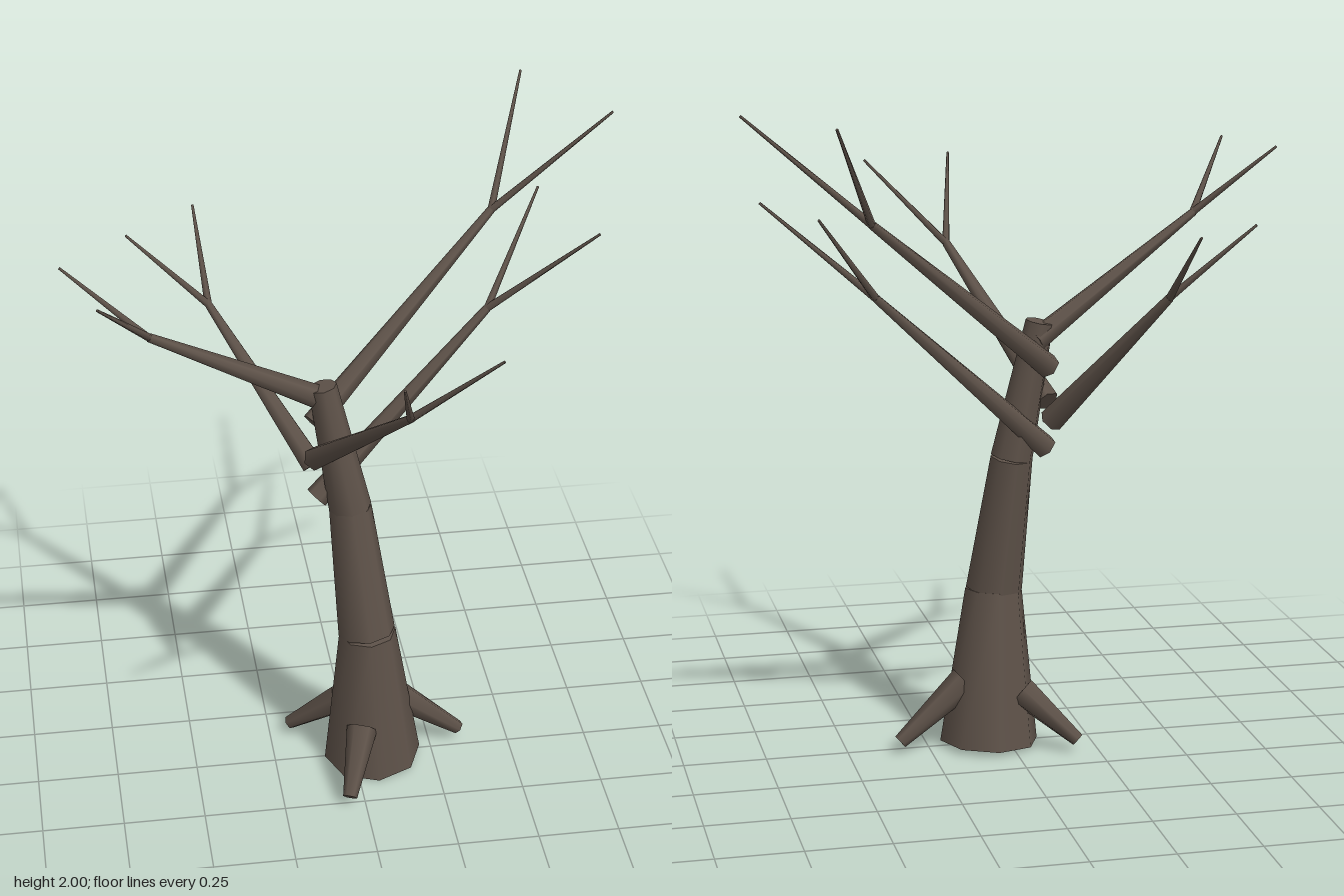
import * as THREE from 'three';

const UP = new THREE.Vector3(0, 1, 0);

export function createModel() {
  const tree = new THREE.Group();
  tree.name = 'bareTree';
  const bark = new THREE.MeshStandardMaterial({ color: 0x5e5249 });
  bark.name = 'bark';

  // Tapered limb running from point a (radius ra) to point b (radius rb)
  function limb(name, a, b, ra, rb, sides, parent) {
    const start = new THREE.Vector3(...a);
    const axis = new THREE.Vector3(...b).sub(start);
    const mesh = new THREE.Mesh(new THREE.CylinderGeometry(rb, ra, axis.length(), sides), bark);
    mesh.name = name;
    mesh.position.copy(start).addScaledVector(axis, 0.5);
    mesh.quaternion.setFromUnitVectors(UP, axis.normalize());
    parent.add(mesh);
  }

  // Leaning trunk in three stacked sections
  const trunk = new THREE.Group();
  trunk.name = 'trunk';
  tree.add(trunk);
  limb('lowerTrunk', [0.06, 0.012, 0.005], [0.04, 0.49, 0.025], 0.152, 0.088, 8, trunk);
  limb('middleTrunk', [0.038, 0.49, 0.025], [-0.005, 0.91, -0.027], 0.088, 0.065, 8, trunk);
  limb('upperTrunk', [-0.005, 0.91, -0.027], [-0.085, 1.325, -0.047], 0.065, 0.043, 8, trunk);

  // Roots: thick end in the trunk, thin end near the ground
  const roots = [
    [[0.14, 0.21, -0.015], [0.345, 0.04, -0.04]],
    [[0.01, 0.19, 0.12], [-0.05, 0.04, 0.27]],
    [[-0.03, 0.18, -0.06], [-0.185, 0.04, -0.145]],
  ];
  for (const [base, tip] of roots) limb('root', base, tip, 0.048, 0.022, 6, tree);

  // Branches: start, fork, and the tips of the two twigs
  const branches = [
    [[-0.07, 1.27, -0.06], [-0.6, 1.61, 0.105], [-0.838, 1.812, 0.035], [-0.75, 1.812, 0.307]],
    [[-0.11, 1.19, -0.065], [0.48, 1.69, -0.405], [0.627, 1.998, -0.73], [0.836, 1.998, -0.38]],
    [[-0.105, 0.94, -0.05], [0.44, 1.45, -0.228], [0.64, 1.72, -0.483], [0.754, 1.72, -0.133]],
    [[-0.11, 1.08, -0.045], [0.093, 1.485, 0.455], [0.03, 1.73, 0.727], [0.322, 1.73, 0.608]],
    [[-0.11, 1.03, -0.09], [-0.385, 1.445, -0.39], [-0.402, 1.658, -0.637], [-0.62, 1.658, -0.457]],
  ];
  for (const [start, fork, ...tips] of branches) {
    const group = new THREE.Group();
    group.name = 'branch';
    tree.add(group);
    limb('bough', start, fork, 0.037, 0.013, 6, group);
    for (const tip of tips) limb('twig', fork, tip, 0.012, 0.004, 5, group);
  }
  return tree;
}
